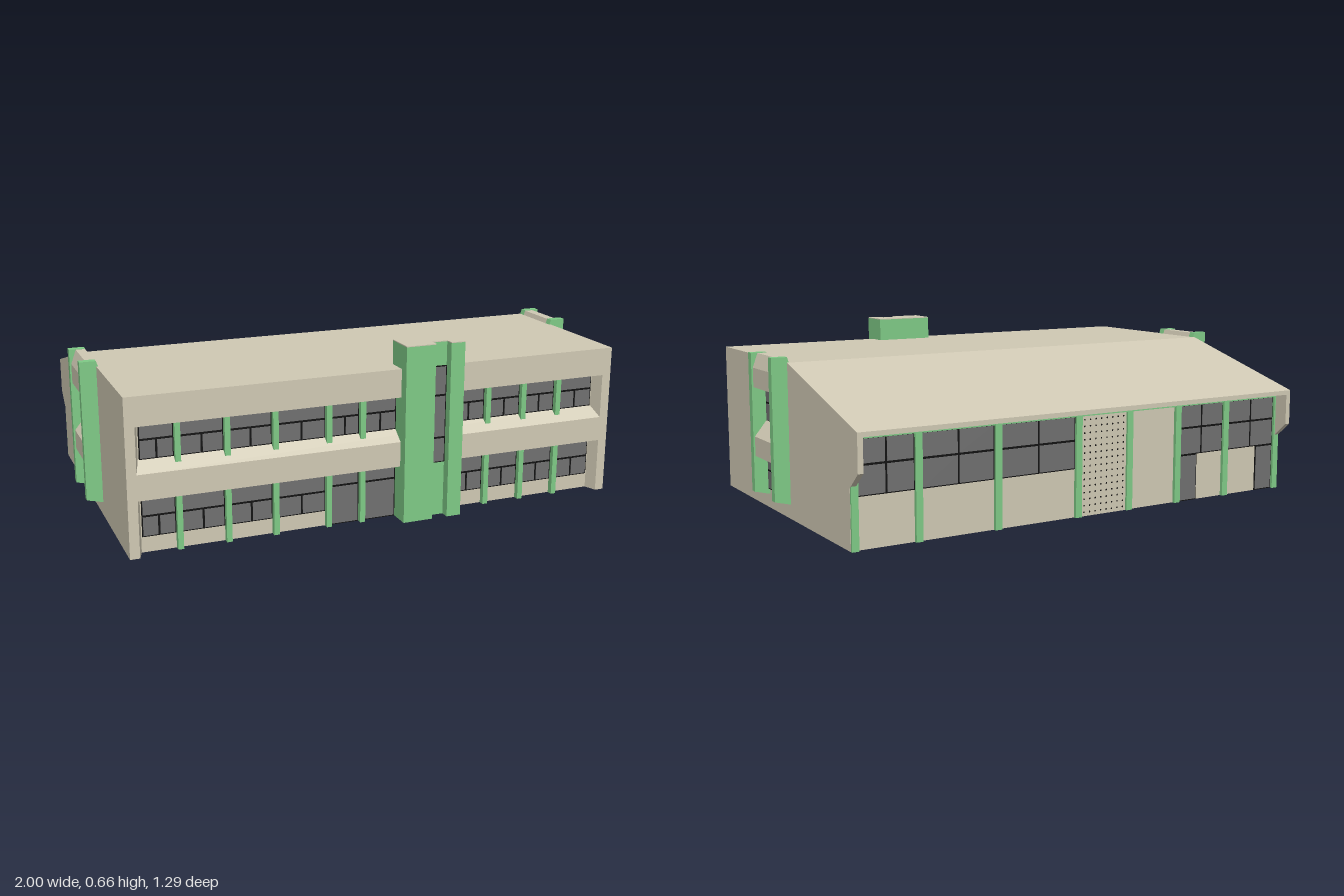
import * as THREE from 'three';
import { mergeGeometries } from 'three/addons/utils/BufferGeometryUtils.js';

const mat = (color) => new THREE.MeshStandardMaterial({ color, flatShading: true });
const M = {
  wall: mat(0xd0c9b4),
  green: mat(0x7fca86),
  glass: mat(0x707070),
  frame: mat(0x111111),
};

function mesh(name, geometry, material, parent) {
  const m = new THREE.Mesh(geometry, material);
  m.name = name;
  parent.add(m);
  return m;
}

// Box given by its minimum and maximum on each axis
function box(name, [x0, x1], [y0, y1], [z0, z1], material, parent) {
  const m = mesh(name, new THREE.BoxGeometry(x1 - x0, y1 - y0, z1 - z0), material, parent);
  m.position.set((x0 + x1) / 2, (y0 + y1) / 2, (z0 + z1) / 2);
  return m;
}

const extrude = (points, depth) => new THREE.ExtrudeGeometry(
  new THREE.Shape(points.map(([a, b]) => new THREE.Vector2(a, b))), { depth, bevelEnabled: false });

// Side profile of [z, y] points swept along x
const sweepX = (points, x0, x1) => extrude(points, x1 - x0).rotateY(-Math.PI / 2).translate(x1, 0, 0);

// Plan of [x, z] points raised along y
const raiseY = (points, y0, y1) => extrude(points.map(([x, z]) => [x, -z]), y1 - y0)
  .rotateX(-Math.PI / 2).translate(0, y0, 0);

// Window facing +z: dark frame with panes; rows are [bottom, top, columns]
function windowUnit(name, x0, x1, rows, parent, z = 0) {
  const g = new THREE.Group();
  g.name = name;
  const bar = 0.004;
  box('frame', [x0, x1], [rows[0][0], rows[rows.length - 1][1]], [z - 0.004, z + 0.003], M.frame, g);
  for (const [y0, y1, cols] of rows) {
    const w = (x1 - x0) / cols;
    for (let i = 0; i < cols; i++) {
      box('pane', [x0 + i * w + bar, x0 + (i + 1) * w - bar], [y0 + bar, y1 - bar], [z, z + 0.005], M.glass, g);
    }
  }
  parent.add(g);
  return g;
}

const FRONT = 0.607, RECESS = 0.56, BACK = -0.575, EAVE = -0.645;

function buildBody(parent) {
  // Middle section with the two recessed window bands and the open eave
  mesh('mainBody', sweepX([
    [BACK, 0], [RECESS, 0], [RECESS, 0.205], [FRONT, 0.205], [FRONT, 0.298], [RECESS, 0.335],
    [RECESS, 0.465], [FRONT, 0.465], [FRONT, 0.57], [-0.06, 0.57], [EAVE, 0.405], [EAVE, 0.388], [BACK, 0.388],
  ], -0.92, 0.92), M.wall, parent);
  // End walls with the kinked back edge, and splayed jambs beside the recesses
  for (const s of [-1, 1]) {
    const [a, b] = s > 0 ? [0.92, 0.94] : [-0.94, -0.92];
    mesh('endWall', sweepX([
      [-0.58, 0], [FRONT, 0], [FRONT, 0.57], [-0.06, 0.57], [EAVE, 0.405], [EAVE, 0.27], [-0.58, 0.212],
    ], a, b), M.wall, parent);
    mesh('jamb', raiseY([
      [s * 0.925, FRONT], [s * 0.905, FRONT], [s * 0.885, RECESS - 0.01], [s * 0.925, RECESS - 0.01],
    ], 0, 0.467), M.wall, parent);
  }
}

function buildFront(parent) {
  const fins = [-0.755, -0.58, -0.405, -0.205, -0.075, 0.43, 0.58, 0.73];
  for (const x of fins) {
    box('upperFin', [x - 0.01, x + 0.01], [0.319, 0.465], [RECESS, 0.582], M.green, parent);
    box('lowerFin', [x - 0.01, x + 0.01], [0, 0.205], [RECESS, 0.582], M.green, parent);
  }
  // Bays between the fins, the ends and the tower
  const edges = [-0.895, ...fins.slice(0, 5), 0.07, null, 0.28, ...fins.slice(5), 0.895];
  for (let i = 0; i < edges.length - 1; i++) {
    if (edges[i] === null || edges[i + 1] === null) continue;
    const x0 = edges[i] + 0.01, x1 = edges[i + 1] - 0.01;
    const isDoor = x0 > -0.2 - 0.01 && x1 < 0.1;
    windowUnit('upperWindow', x0, x1, [[0.335, 0.405, 2], [0.405, 0.465, 1]], parent, RECESS);
    windowUnit(isDoor ? 'frontDoor' : 'lowerWindow', x0, x1,
      isDoor ? [[0, 0.148, 1], [0.148, 0.205, 1]] : [[0.057, 0.132, 2], [0.132, 0.205, 1]], parent, RECESS);
  }
}

function buildTower(parent) {
  // Grooved entrance tower with a strip of windows in the groove
  const plan = [
    [0.06, 0.645], [0.175, 0.645], [0.175, 0.611], [0.235, 0.611],
    [0.235, 0.645], [0.29, 0.645], [0.29, 0.53], [0.06, 0.53],
  ];
  mesh('tower', raiseY(plan, 0, 0.657), M.green, parent);
  mesh('towerCap', raiseY(plan, 0.657, 0.66), M.wall, parent);
  windowUnit('towerWindow', 0.175, 0.235, [[0.205, 0.3, 1], [0.3, 0.46, 1], [0.46, 0.57, 1]], parent, 0.611);
}

// Side bay on the +x end, centred on its own z
function buildBay() {
  const g = new THREE.Group();
  g.name = 'sideBay';
  for (const z of [-0.1025, 0.1025]) {
    const fin = extrude([[0.93, 0.053], [0.945, 0.055], [1, 0.069], [1, 0.59], [0.94, 0.59], [0.93, 0.56]], 0.029)
      .translate(0, 0, z - 0.0145);
    mesh('bayFin', fin, M.green, g);
  }
  const sections = {
    baySpandrel: [[0.93, 0.205], [0.994, 0.205], [0.994, 0.278], [0.948, 0.335], [0.93, 0.335]],
    bayTop: [[0.93, 0.463], [0.994, 0.463], [0.994, 0.535], [0.975, 0.588], [0.94, 0.588], [0.93, 0.56]],
  };
  for (const [name, points] of Object.entries(sections)) {
    mesh(name, extrude(points, 0.18).translate(0, 0, -0.09), M.wall, g);
  }
  for (const [y0, y1, y2] of [[0.075, 0.147, 0.205], [0.333, 0.403, 0.463]]) {
    const w = windowUnit('bayWindow', -0.088, 0.088, [[y0, y1, 2], [y1, y2, 1]], g);
    w.rotation.y = Math.PI / 2;
    w.position.x = 0.944;
  }
  return g;
}

function buildBack(parent) {
  const fins = [0.926, 0.69, 0.38, 0.04, -0.19, -0.42, -0.66, -0.926];
  for (const x of fins) {
    box('backFin', [x - 0.013, x + 0.013], [0, 0.388], [-0.588, BACK], M.green, parent);
  }
  box('eaveBeam', [-0.92, 0.92], [0.372, 0.388], [-0.586, BACK], M.green, parent);

  // Units are built facing +z in a group turned to face the back, so x is negated inside
  const back = new THREE.Group();
  back.name = 'backWall';
  back.rotation.y = Math.PI;
  parent.add(back);
  const z = -BACK;
  for (const i of [0, 1, 2, 5, 6]) {
    windowUnit('backWindow', -fins[i] + 0.013, -fins[i + 1] - 0.013,
      [[0.18, 0.285, 2], [0.285, 0.374, 2]], back, z);
  }
  windowUnit('backDoor', 0.433, 0.52, [[0, 0.18, 1]], back, z);
  windowUnit('backDoor', 0.825, 0.913, [[0, 0.18, 1]], back, z);

  // Perforated panel
  box('perforatedPanel', [-0.027, 0.177], [0, 0.372], [z - 0.005, z + 0.004], M.wall, back);
  const holes = [];
  for (let i = 0; i < 8; i++) {
    for (let j = 0; j < 15; j++) {
      holes.push(new THREE.CircleGeometry(0.0035, 8).translate(-0.012 + i * 0.025, 0.015 + j * 0.0245, z + 0.005));
    }
  }
  mesh('panelHoles', mergeGeometries(holes), M.frame, back);
}

export function createModel() {
  const model = new THREE.Group();
  model.name = 'building';
  buildBody(model);
  buildFront(model);
  buildTower(model);
  buildBack(model);
  for (const turn of [0, Math.PI]) {
    const bay = buildBay();
    bay.rotation.y = turn;
    bay.position.z = 0.0575;
    model.add(bay);
  }
  return model;
}
